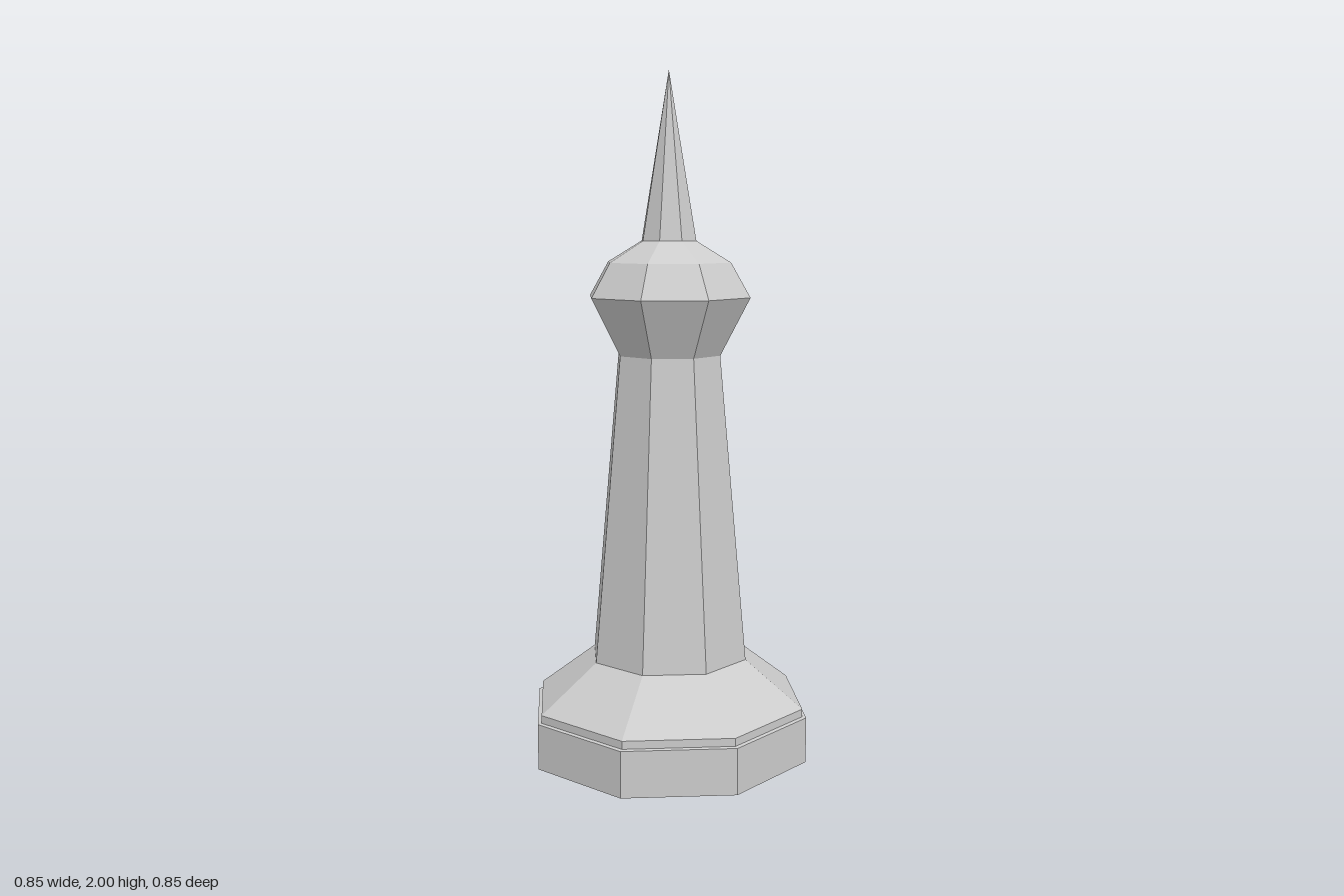
import * as THREE from 'three';

const SIDES = 8;

export function createModel() {
  const group = new THREE.Group();
  const material = new THREE.MeshStandardMaterial({ color: 0xcccccc, flatShading: true });

  // Faceted octagonal section turned from [radius, height] pairs, bottom to top
  function addTurned(name, profile) {
    const points = profile.map(([r, y]) => new THREE.Vector2(r, y));
    const mesh = new THREE.Mesh(new THREE.LatheGeometry(points, SIDES), material);
    mesh.name = name;
    group.add(mesh);
  }

  // Plinth with closed underside and a narrow ledge on top
  addTurned('plinth', [[0, 0], [0.423, 0], [0.423, 0.135], [0.411, 0.137]]);

  // Short rim and sloping skirt up to the shaft
  addTurned('skirt', [[0.411, 0.137], [0.411, 0.16], [0.238, 0.293]]);

  // Tapered tower shaft
  addTurned('shaft', [[0.238, 0.293], [0.156, 1.19]]);

  // Flared head with a domed roof
  addTurned('head', [[0.156, 1.19], [0.245, 1.358], [0.187, 1.457], [0.083, 1.518]]);

  // Pointed spire
  addTurned('spire', [[0.083, 1.518], [0, 2]]);

  return group;
}
